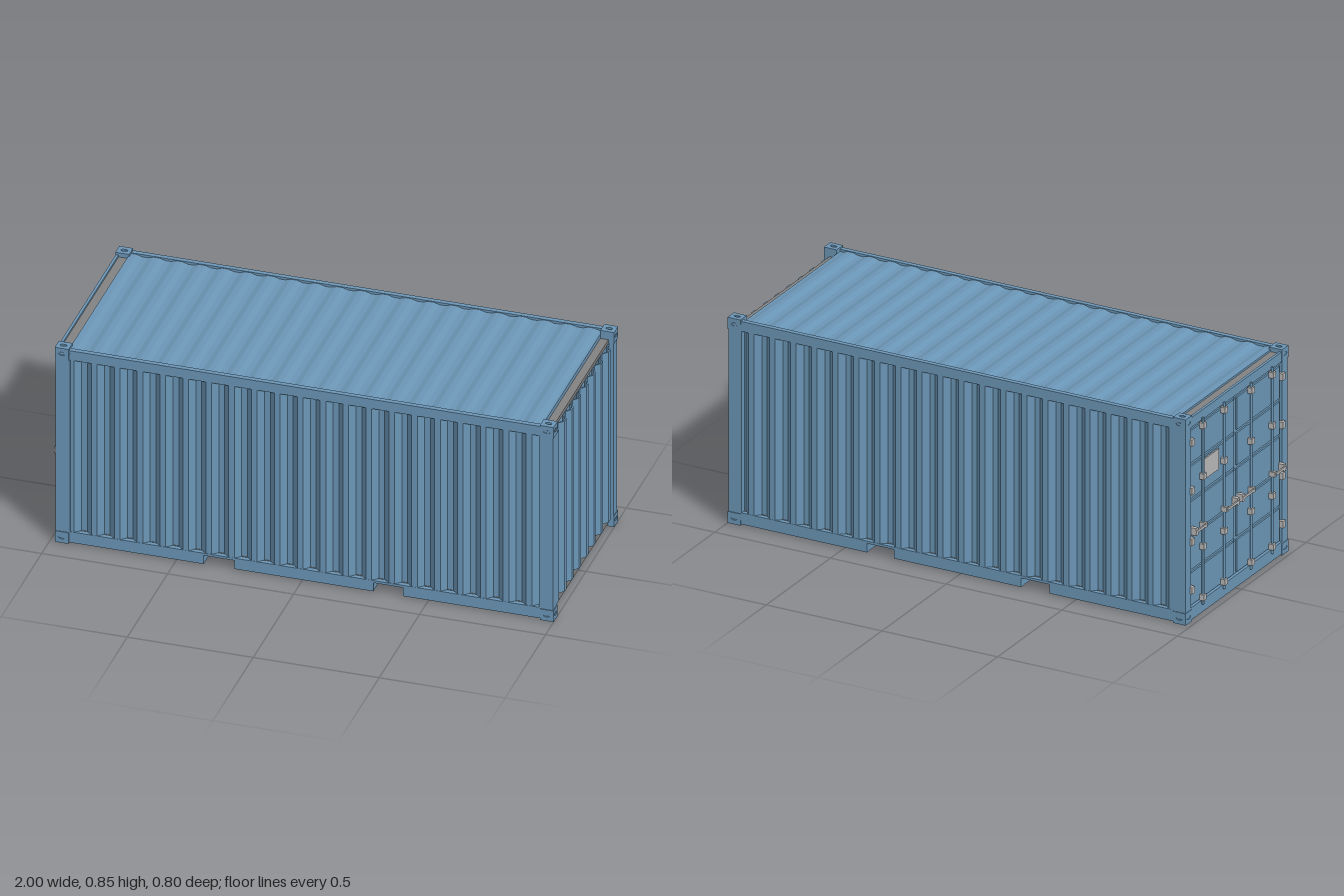
import * as THREE from 'three';

export function createModel() {
  const root = new THREE.Group();
  const blue = new THREE.MeshStandardMaterial({ name: 'blue paint', color: 0x6b96b6 });
  const grey = new THREE.MeshStandardMaterial({ name: 'grey steel', color: 0x828282 });
  const silver = new THREE.MeshStandardMaterial({ name: 'light grey fittings', color: 0xb8b8b8 });

  const add = (name, geometry, material, parent = root) => {
    const mesh = new THREE.Mesh(geometry, material);
    mesh.name = name;
    parent.add(mesh);
    return mesh;
  };
  // Box given by its extents along each axis
  const box = (name, material, [x0, x1], [y0, y1], [z0, z1], parent = root) => {
    const mesh = add(name, new THREE.BoxGeometry(x1 - x0, y1 - y0, z1 - z0), material, parent);
    mesh.position.set((x0 + x1) / 2, (y0 + y1) / 2, (z0 + z1) / 2);
    return mesh;
  };
  // A span mirrored to either side of zero, kept in ascending order
  const side = (s, a, b) => (s > 0 ? [a, b] : [-b, -a]);

  // Corrugated sheet: trapezoid profile in x/y, extruded along z
  const PITCH = 0.0908, q = PITCH / 4;
  const corrugated = (a, b, firstSlope, peak, valley, thickness, length) => {
    const line = [[a, peak]];
    for (let d = firstSlope; d - q / 2 < b; d += PITCH) {
      [[-0.5, peak], [0.5, valley], [1.5, valley], [2.5, peak]].forEach(([k, n]) => {
        if (d + k * q < b) line.push([d + k * q, n]);
      });
    }
    line.push([b, line[line.length - 1][1]]);
    const inner = line.map(([u, n]) => [u, n - thickness]).reverse();
    const shape = new THREE.Shape([...line, ...inner].map(([u, n]) => new THREE.Vector2(u, n)));
    return new THREE.ExtrudeGeometry(shape, { depth: length, bevelEnabled: false });
  };

  // Side walls, end wall and roof
  for (const s of [1, -1]) {
    const geo = corrugated(-0.94, 0.945, -0.893, s * 0.395, s * 0.375, s * 0.005, 0.76);
    geo.rotateX(Math.PI / 2).translate(0, 0.805, 0);
    add('sideWall', geo, blue);
  }
  const endGeo = corrugated(-0.355, 0.355, -0.315, 0.998, 0.979, 0.006, 0.745);
  endGeo.rotateX(Math.PI / 2).rotateY(Math.PI / 2).translate(0, 0.8, 0);
  add('endWall', endGeo, blue);
  const roofGeo = corrugated(-0.93, 0.945, -0.893, 0.84, 0.833, 0.018, 0.77);
  add('roof', roofGeo.translate(0, 0, -0.385), blue);

  // Bottom rail outline with two fork pocket notches
  const pockets = [[-0.39, -0.267], [0.283, 0.4]];
  const railShape = new THREE.Shape();
  railShape.moveTo(-0.95, 0.005);
  for (const [a, b] of pockets) {
    railShape.lineTo(a, 0.005);
    railShape.lineTo(a, 0.042);
    railShape.lineTo(b, 0.042);
    railShape.lineTo(b, 0.005);
  }
  [[0.97, 0.005], [0.97, 0.052], [-0.95, 0.052]].forEach(([x, y]) => railShape.lineTo(x, y));

  for (const s of [1, -1]) {
    const rail = add('bottomRail', new THREE.ExtrudeGeometry(railShape, { depth: 0.02, bevelEnabled: false }), blue);
    rail.position.z = s > 0 ? 0.376 : -0.396;
    box('topRail', blue, [-0.95, 0.97], [0.802, 0.843], side(s, 0.376, 0.396));
    box('doorPost', blue, [-0.978, -0.92], [0.02, 0.83], side(s, 0.355, 0.397));
    box('endPost', blue, [0.942, 0.997], [0.02, 0.83], side(s, 0.35, 0.397));
  }

  // End beams: grey behind the corrugated end, painted around the doors
  box('endTopBeam', grey, [0.94, 0.977], [0.798, 0.815], [-0.352, 0.352]);
  box('endBottomBeam', grey, [0.945, 0.977], [0.015, 0.055], [-0.352, 0.352]);
  box('doorHeader', blue, [-0.978, -0.967], [0.8, 0.84], [-0.36, 0.36]);
  box('doorHeaderBeam', grey, [-0.967, -0.928], [0.8, 0.832], [-0.36, 0.36]);
  box('doorSill', blue, [-0.978, -0.966], [0.005, 0.055], [-0.36, 0.36]);
  box('doorSillTop', blue, [-0.97, -0.925], [0.043, 0.055], [-0.36, 0.36]);

  // Corner castings: a core with slotted plates on the three outer faces
  const slotPlate = (w, h) => {
    const shape = new THREE.Shape();
    shape.moveTo(-w / 2, -h / 2);
    shape.lineTo(w / 2, -h / 2);
    shape.lineTo(w / 2, h / 2);
    shape.lineTo(-w / 2, h / 2);
    const hole = new THREE.Path();
    hole.absellipse(0, 0, 0.014, 0.007, 0, Math.PI * 2, true);
    shape.holes.push(hole);
    return new THREE.ExtrudeGeometry(shape, { depth: 0.008, bevelEnabled: false, curveSegments: 6 })
      .translate(0, 0, -0.004);
  };
  const W = 0.055, H = 0.048, D = 0.05;
  for (const xs of [1, -1]) for (const ys of [1, -1]) for (const zs of [1, -1]) {
    const casting = new THREE.Group();
    casting.name = 'cornerCasting';
    casting.position.set(xs > 0 ? 1 - W / 2 : -0.98 + W / 2, ys > 0 ? 0.85 - H / 2 : H / 2, zs * (0.4 - D / 2));
    root.add(casting);
    const core = add('castingCore', new THREE.BoxGeometry(W - 0.008, H - 0.008, D - 0.008), blue, casting);
    core.position.set(-xs * 0.004, -ys * 0.004, -zs * 0.004);
    add('castingSideFace', slotPlate(W, H), blue, casting).position.z = zs * (D / 2 - 0.004);
    add('castingEndFace', slotPlate(D, H).rotateY(Math.PI / 2), blue, casting).position.x = xs * (W / 2 - 0.004);
    add('castingCapFace', slotPlate(W, D).rotateX(Math.PI / 2), blue, casting).position.y = ys * (H / 2 - 0.004);
  }

  // Floor, cross members and fork pockets
  box('floor', grey, [-0.93, 0.95], [0.046, 0.054], [-0.377, 0.377]);
  const bays = [[-0.925, -0.4], [-0.257, 0.273], [0.41, 0.945]];
  for (const [a, b] of bays) {
    for (let i = 0; i < 4; i++) {
      const x = a + ((b - a) * (i + 0.5)) / 4;
      box('crossMember', grey, [x - 0.009, x + 0.009], [0.014, 0.046], [-0.377, 0.377]);
    }
  }
  for (const [a, b] of pockets) {
    box('forkPocketTop', blue, [a - 0.006, b + 0.006], [0.042, 0.047], [-0.377, 0.377]);
    box('forkPocketWall', blue, [a - 0.006, a], [0.006, 0.043], [-0.377, 0.377]);
    box('forkPocketWall', blue, [b, b + 0.006], [0.006, 0.043], [-0.377, 0.377]);
  }

  // Doors: recessed leaf with five raised bands, rods, hinges and handles
  for (const s of [1, -1]) {
    const door = new THREE.Group();
    door.name = s > 0 ? 'leftDoor' : 'rightDoor';
    root.add(door);
    box('doorLeaf', blue, [-0.966, -0.945], [0.056, 0.8], side(s, 0.003, 0.354), door);
    for (let i = 0; i < 5; i++) {
      const y = 0.062 + i * 0.147;
      box('doorBand', blue, [-0.973, -0.966], [y, y + 0.133], side(s, 0.012, 0.345), door);
    }
    for (const z of [0.105, 0.27]) {
      const rod = add('lockingRod', new THREE.CylinderGeometry(0.005, 0.005, 0.77, 10), blue, door);
      rod.position.set(-0.983, 0.425, s * z);
      for (const y of [0.07, 0.28, 0.57, 0.78]) {
        box('rodBracket', silver, [-0.993, -0.972], [y - 0.012, y + 0.012], side(s, z - 0.011, z + 0.011), door);
      }
      // Handle bar standing off the door, with its catch
      const [h0, h1] = z < 0.2 ? [0.012, 0.105] : [0.27, 0.35];
      box('handle', silver, [-1, -0.994], [0.365, 0.375], side(s, h0, h1), door);
      box('handlePivot', silver, [-0.998, -0.972], [0.36, 0.38], side(s, z - 0.008, z + 0.008), door);
      const c = z < 0.2 ? 0.02 : 0.342;
      box('handleCatch', silver, [-0.998, -0.972], [0.355, 0.385], side(s, c - 0.008, c + 0.008), door);
    }
    for (const y of [0.13, 0.33, 0.54, 0.74]) {
      box('hinge', silver, [-0.988, -0.97], [y - 0.014, y + 0.014], side(s, 0.343, 0.364), door);
    }
  }
  box('dataPlate', silver, [-0.978, -0.972], [0.545, 0.63], [-0.25, -0.135]);

  return root;
}
